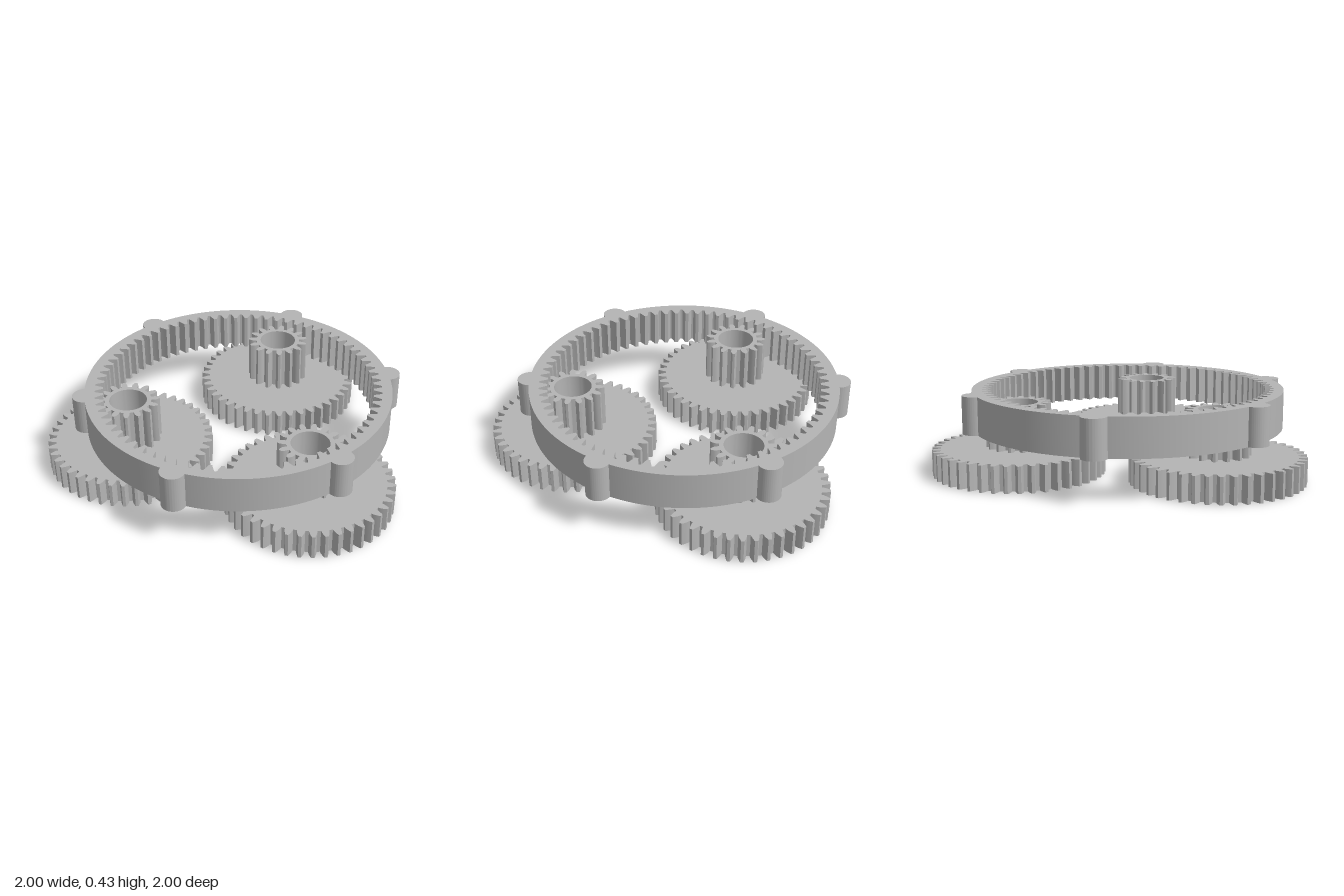
import * as THREE from 'three';
import { toCreasedNormals } from 'three/addons/utils/BufferGeometryUtils.js';

const MODULE = 0.0206;                 // tooth size shared by every gear
const PRESSURE = THREE.MathUtils.degToRad(20);
const BORE = 0.104;
const RING_Z = -0.08;                  // centre of the ring
const ORBIT = 0.617;                   // ring centre to planet centre

// Involute gear outline, with one tooth pointing to the back
function gearPoints(teeth, addendum, dedendum) {
  const pitch = MODULE * teeth / 2;
  const base = pitch * Math.cos(PRESSURE);
  const inv = (a) => Math.tan(a) - a;
  const tip = pitch + addendum, root = pitch - dedendum;
  const halfAngle = (r) => Math.PI / (2 * teeth) + inv(PRESSURE)
    - inv(Math.acos(Math.min(1, base / r)));
  const flank = [0, 0.25, 0.5, 0.75, 1].map((t) => {
    const r = root + (tip - root) * t;
    return [r, halfAngle(r)];
  });
  const points = [];
  const add = (r, a) => points.push(new THREE.Vector2(r * Math.cos(a), r * Math.sin(a)));
  for (let i = 0; i < teeth; i++) {
    const mid = Math.PI / 2 + i * 2 * Math.PI / teeth;
    flank.forEach(([r, h]) => add(r, mid - h));
    [...flank].reverse().forEach(([r, h]) => add(r, mid + h));
  }
  return points;
}

// Upright extrusion of a flat outline between two heights
function slab(shape, bottom, top) {
  const geometry = new THREE.ExtrudeGeometry(shape, {
    depth: top - bottom, bevelEnabled: false, curveSegments: 32,
  });
  geometry.rotateX(-Math.PI / 2).translate(0, bottom, 0);
  return toCreasedNormals(geometry, 0.4);
}

function boredGear(teeth, bottom, top) {
  const shape = new THREE.Shape(gearPoints(teeth, MODULE, MODULE * 1.25));
  shape.holes.push(new THREE.Path().absarc(0, 0, BORE, 0, Math.PI * 2, true));
  return slab(shape, bottom, top);
}

// Toothed ring with six round lugs on its rim
function ringGeometry() {
  const R = 0.853, lug = 0.067;
  const a = 2 * Math.asin(lug / (2 * R));
  const sweep = Math.PI / 2 + a / 2;
  const shape = new THREE.Shape();
  for (let i = 0; i < 6; i++) {
    const t = Math.PI / 2 + i * Math.PI / 3;
    shape.absarc(R * Math.cos(t), R * Math.sin(t), lug, t - sweep, t + sweep, false);
    shape.absarc(0, 0, R, t + a, t + Math.PI / 3 - a, false);
  }
  shape.closePath();
  shape.holes.push(new THREE.Path(gearPoints(75, MODULE * 1.25, MODULE).reverse()));
  return slab(shape, 0.225, 0.43);
}

export function createModel() {
  const model = new THREE.Group();
  model.name = 'planetaryGearSet';
  const grey = new THREE.MeshStandardMaterial({ color: 0xb4b4b4 });
  grey.name = 'grey';

  const add = (parent, name, geometry) => {
    const mesh = new THREE.Mesh(geometry, grey);
    mesh.name = name;
    parent.add(mesh);
    return mesh;
  };

  add(model, 'ringGear', ringGeometry()).position.z = RING_Z;

  // Three stepped planets: a wide lower gear under a narrow pinion
  const wide = boredGear(43, 0, 0.14);
  const pinion = boredGear(15, 0.14, 0.38);
  ['frontPlanet', 'leftPlanet', 'rightPlanet'].forEach((name, i) => {
    const angle = i * 2 * Math.PI / 3;
    const planet = new THREE.Group();
    planet.name = name;
    planet.position.set(ORBIT * Math.sin(angle), 0, RING_Z + ORBIT * Math.cos(angle));
    add(planet, 'wideGear', wide);
    add(planet, 'pinion', pinion);
    model.add(planet);
  });

  return model;
}
